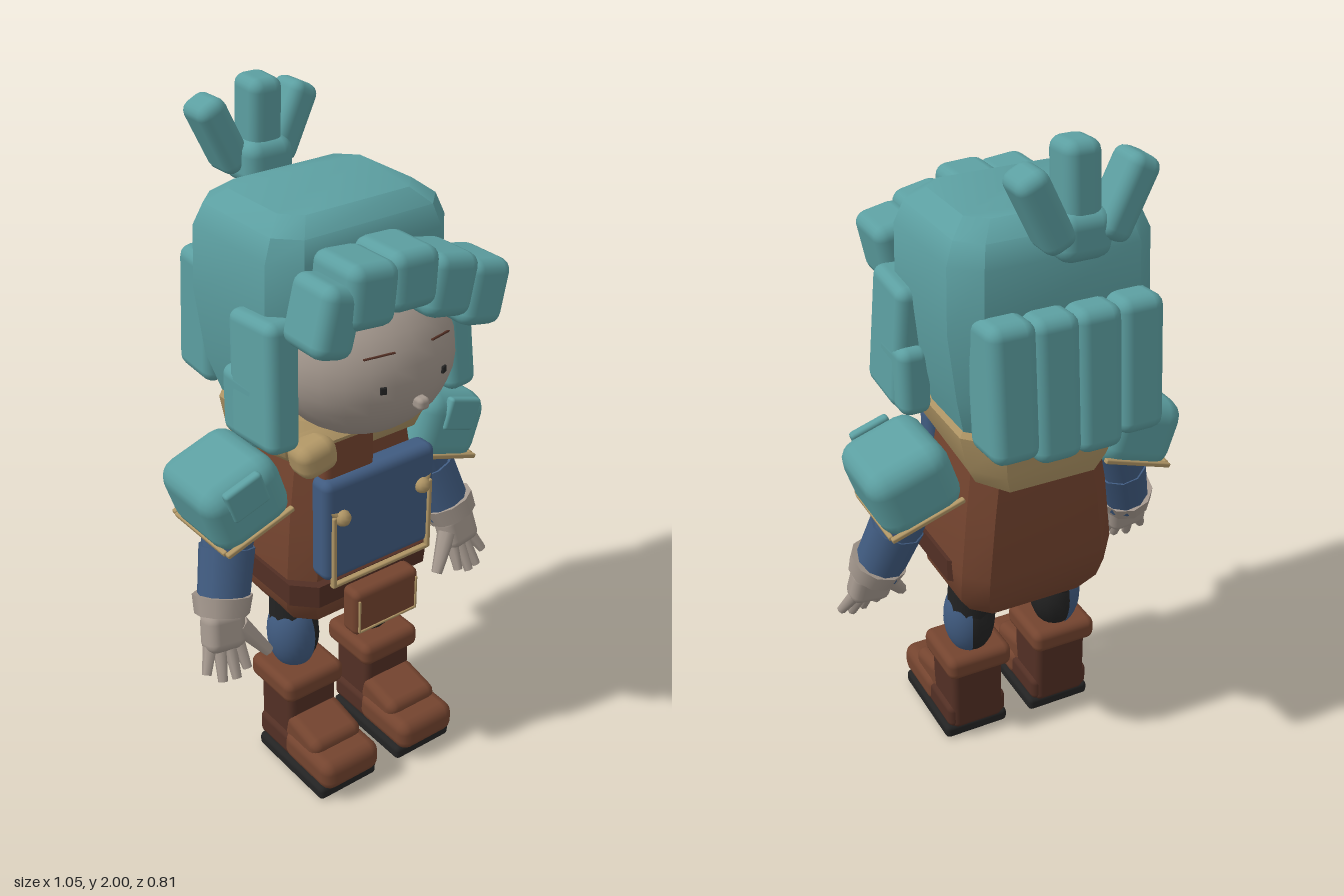
import * as THREE from 'three';
import { RoundedBoxGeometry } from 'three/addons/geometries/RoundedBoxGeometry.js';
import { toCreasedNormals } from 'three/addons/utils/BufferGeometryUtils.js';

const mat = (name, color) => {
  const m = new THREE.MeshStandardMaterial({ color });
  m.name = name;
  return m;
};

export function createModel() {
  const root = new THREE.Group();
  root.name = 'adventurer';
  const teal = mat('teal', 0x5c9fa1), blue = mat('blue', 0x405b80), brown = mat('brown', 0x74442f);
  const dark = mat('darkBrown', 0x522f24), tan = mat('tan', 0xae9464), skin = mat('skin', 0xa3978d);
  const black = mat('black', 0x232323);

  const add = (name, geo, m, x = 0, y = 0, z = 0, rx = 0, ry = 0, rz = 0) => {
    const mesh = new THREE.Mesh(geo, m);
    mesh.name = name;
    mesh.position.set(x, y, z);
    mesh.rotation.set(rx, ry, rz);
    root.add(mesh);
    return mesh;
  };
  // soft box: size, centre, rotation
  const box = (name, m, [w, h, d], [x, y, z], r = 0.02, [rx, ry, rz] = [0, 0, 0]) =>
    add(name, new RoundedBoxGeometry(w, h, d, 2, Math.min(r, w * 0.49, h * 0.49, d * 0.49)), m, x, y, z, rx, ry, rz);
  // tapered round limb between two points
  const limb = (name, m, a, b, r1, r2, sides = 10) => {
    const p = new THREE.Vector3(...a), q = new THREE.Vector3(...b);
    const d = q.clone().sub(p);
    const mesh = add(name, new THREE.CylinderGeometry(r2, r1, d.length(), sides), m);
    mesh.position.copy(p).add(q).multiplyScalar(0.5);
    mesh.quaternion.setFromUnitVectors(new THREE.Vector3(0, 1, 0), d.normalize());
    return mesh;
  };
  // stacked eight-sided sections: [y, halfWidth, back, front, cornerCut, frontLift]
  const loft = (name, m, sections) => {
    const pos = [], idx = [];
    sections.forEach(([y, w, b, f, c, lift = 0]) => {
      const ring = [[w, b + c], [w, f - c], [w - c, f], [c - w, f], [-w, f - c], [-w, b + c], [c - w, b], [w - c, b]];
      ring.forEach(([x, z]) => pos.push(x, y + lift * (z - b) / (f - b), z));
    });
    const n = sections.length;
    for (let s = 0; s < n - 1; s++) for (let i = 0; i < 8; i++) {
      const j = (i + 1) % 8, a = s * 8;
      idx.push(a + i, a + 8 + i, a + j, a + j, a + 8 + i, a + 8 + j);
    }
    for (let i = 1; i < 7; i++) {
      idx.push(0, i, i + 1);
      idx.push((n - 1) * 8, (n - 1) * 8 + i + 1, (n - 1) * 8 + i);
    }
    const g = new THREE.BufferGeometry();
    g.setAttribute('position', new THREE.Float32BufferAttribute(pos, 3));
    // sections run upward, rings run clockwise from above: flip to face outward
    for (let i = 0; i < idx.length; i += 3) {
      const [A, B, C] = [0, 1, 2].map(k => new THREE.Vector3().fromArray(pos, idx[i + k] * 3));
      const normal = B.clone().sub(A).cross(C.clone().sub(A));
      const centre = new THREE.Vector3(0, (sections[0][0] + sections[n - 1][0]) / 2, (sections[0][2] + sections[0][3]) / 2);
      if (normal.dot(A.add(B).add(C).divideScalar(3).sub(centre)) < 0) [idx[i + 1], idx[i + 2]] = [idx[i + 2], idx[i + 1]];
    }
    g.setIndex(idx);
    return add(name, toCreasedNormals(g, 0.6), m);
  };

  // Head
  const H = { y: 1.375, z: 0.15, rx: 0.26, ry: 0.225, rz: 0.235 };
  const faceZ = (x, y) => H.z + H.rz * Math.sqrt(1 - (x / H.rx) ** 2 - ((y - H.y) / H.ry) ** 2);
  add('head', new THREE.SphereGeometry(1, 24, 16), skin, 0, H.y, H.z).scale.set(H.rx, H.ry, H.rz);
  add('chinShade', new THREE.SphereGeometry(1.01, 24, 4, 0, Math.PI * 2, Math.PI * 0.84, Math.PI * 0.16), brown,
    0, H.y, H.z).scale.set(H.rx, H.ry, H.rz);
  box('nose', skin, [0.035, 0.035, 0.04], [0.01, 1.31, 0.385], 0.012);
  for (const s of [-1, 1]) {
    box('eye', black, [0.018, 0.02, 0.009], [s * 0.1, 1.37, faceZ(0.1, 1.37)], 0.003, [0, s * 0.4, 0]);
    box('brow', dark, [0.085, 0.005, 0.009], [s * 0.1, 1.46, faceZ(0.1, 1.46)], 0.002, [-0.3, s * 0.35, 0]);
  }

  // Hair mass
  loft('hairCap', teal, [
    [1.19, 0.24, -0.24, 0.1, 0.07], [1.3, 0.27, -0.27, 0.14, 0.07], [1.5, 0.295, -0.275, 0.2, 0.07],
    [1.68, 0.29, -0.27, 0.2, 0.07], [1.74, 0.265, -0.245, 0.18, 0.06], [1.78, 0.215, -0.19, 0.13, 0.05]]);
  // Fringe: x, y, width, height, tilt
  [[-0.235, 1.59, 0.12, 0.19, -0.25], [-0.14, 1.64, 0.15, 0.17, -0.1], [-0.01, 1.65, 0.15, 0.16, -0.05],
    [0.115, 1.6, 0.15, 0.17, -0.2], [0.23, 1.55, 0.14, 0.18, -0.2]].forEach(([x, y, w, h, t], i) =>
    box('fringeLock', teal, [w, h, 0.19 - (i === 0 ? 0.02 : 0)], [x, y, 0.293], 0.035, [0, 0, t]));
  // Back locks
  for (let i = 0; i < 4; i++) {
    const outer = i === 0 || i === 3;
    box('backLock', teal, [0.135, outer ? 0.38 : 0.4, 0.17], [(i - 1.5) * 0.122, outer ? 1.37 : 1.355, -0.292], 0.035, [0.08, 0, 0]);
  }
  // Side locks
  for (const s of [-1, 1]) {
    box('sideLock', teal, [0.1, 0.36, 0.2], [s * 0.293, 1.36, 0.12], 0.03, [-0.08, 0, s * 0.06]);
    box('sideLockTip', teal, [0.09, 0.2, 0.17], [s * 0.3, 1.27, 0.07], 0.03);
  }
  // Topknot
  box('knotBase', teal, [0.15, 0.13, 0.16], [0, 1.77, -0.315], 0.04);
  box('knotTuft', teal, [0.1, 0.24, 0.12], [0, 1.88, -0.315], 0.032, [0.06, 0, 0]);
  for (const s of [-1, 1]) box('knotTuft', teal, [0.09, 0.22, 0.12], [s * 0.112, 1.85, -0.345], 0.03, [0, 0, -s * 0.45]);

  // Coat, hips and scarf
  loft('coat', brown, [
    [0.53, 0.19, -0.13, 0.14, 0.05], [0.6, 0.235, -0.18, 0.18, 0.06], [0.7, 0.24, -0.2, 0.19, 0.06],
    [0.9, 0.22, -0.195, 0.18, 0.06], [1.1, 0.19, -0.18, 0.17, 0.06]]);
  box('hips', black, [0.34, 0.1, 0.24], [0, 0.56, 0], 0.03);
  loft('scarf', tan, [
    [1.0, 0.2, -0.225, 0.16, 0.07, 0.08], [1.06, 0.23, -0.25, 0.2, 0.08, 0.05],
    [1.17, 0.25, -0.26, 0.23, 0.09, 0.01], [1.215, 0.22, -0.23, 0.2, 0.08]]);
  box('scarfGap', brown, [0.17, 0.15, 0.05], [-0.09, 1.11, 0.2], 0.02);
  box('scarfKnot', tan, [0.12, 0.1, 0.1], [-0.2, 1.14, 0.2], 0.035, [0, 0, 0.2]);

  // Chest panel with trim and studs
  box('chestPanel', blue, [0.385, 0.32, 0.08], [0, 0.9, 0.212], 0.025);
  for (const s of [-1, 1]) {
    box('trimSide', tan, [0.012, 0.23, 0.018], [s * 0.168, 0.84, 0.252], 0.004);
    add('stud', new THREE.SphereGeometry(0.024, 10, 8), tan, s * 0.14, 0.945, 0.255);
    limb('studStrap', tan, [s * 0.14, 0.945, 0.255], [s * 0.172, 0.965, 0.24], 0.012, 0.012, 6);
  }
  box('trimBottom', tan, [0.348, 0.012, 0.018], [0, 0.728, 0.25], 0.004);

  // Belt and pouch
  loft('belt', dark, [[0.64, 0.25, -0.12, 0.215, 0.06], [0.71, 0.25, -0.12, 0.215, 0.06]]);
  box('pouch', brown, [0.23, 0.15, 0.07], [0, 0.615, 0.252], 0.02);
  box('pouchTrim', tan, [0.2, 0.008, 0.008], [0, 0.558, 0.287], 0.003);
  for (const s of [-1, 1]) box('pouchTrim', tan, [0.006, 0.11, 0.008], [s * 0.102, 0.61, 0.287], 0.002);

  for (const s of [-1, 1]) {
    // Shoulder guard with raised plate and lower trim
    const tilt = -s * 0.32;
    box('shoulderGuard', teal, [0.25, 0.215, 0.285], [s * 0.353, 0.995, 0.005], 0.06, [0, 0, tilt]);
    box('shoulderPlate', teal, [0.12, 0.1, 0.03], [s * 0.375, 1.045, 0.142], 0.01, [0, 0, tilt]);
    for (const z of [-0.13, 0.14]) box('shoulderTrim', tan, [0.23, 0.014, 0.018], [s * 0.332, 0.915, z], 0.004, [0, 0, tilt]);
    box('shoulderTrim', tan, [0.014, 0.014, 0.25], [s * 0.438, 0.88, 0.005], 0.004, [0, 0, tilt]);

    // Sleeve, glove cuff and hand
    limb('upperSleeve', blue, [s * 0.325, 0.95, 0.0], [s * 0.37, 0.8, 0.02], 0.08, 0.072);
    limb('lowerSleeve', blue, [s * 0.365, 0.82, 0.02], [s * 0.415, 0.66, 0.065], 0.08, 0.074);
    limb('gloveCuff', skin, [s * 0.41, 0.695, 0.058], [s * 0.425, 0.645, 0.075], 0.086, 0.078);
    box('palm', skin, [0.125, 0.12, 0.08], [s * 0.432, 0.6, 0.088], 0.03, [-0.25, 0, s * 0.15]);
    [[0.395, 0.485, 0.15], [0.435, 0.47, 0.155], [0.475, 0.47, 0.145], [0.515, 0.5, 0.125]].forEach(([x, y, z], i) =>
      limb('finger', skin, [s * (0.4 + i * 0.024), 0.58, 0.1 - i * 0.005], [s * x, y, z], 0.022, 0.014, 7));
    limb('thumb', skin, [s * 0.385, 0.6, 0.1], [s * 0.315, 0.5, 0.14], 0.03, 0.017, 7);

    // Legs: dark stocking with a coloured outer panel
    const X = s * 0.145;
    const [start, span] = s > 0 ? [0.68, 0.72] : [-0.45, 1.05];
    limb('thigh', black, [X, 0.46, 0.015], [s * 0.13, 0.6, 0.01], 0.07, 0.08);
    add('stocking', new THREE.SphereGeometry(1, 16, 12), black, X, 0.425, 0.022).scale.set(0.078, 0.125, 0.08);
    add('stockingPanel', new THREE.SphereGeometry(1.02, 14, 10, start * Math.PI, span * Math.PI, 0.2 * Math.PI, 0.6 * Math.PI),
      blue, X, 0.425, 0.022).scale.set(0.078, 0.125, 0.08);

    // Boots
    box('bootCuff', brown, [0.21, 0.075, 0.205], [X, 0.292, 0.04], 0.025);
    box('bootShaft', dark, [0.17, 0.24, 0.16], [X, 0.16, 0.045], 0.02);
    box('bootHeel', dark, [0.195, 0.08, 0.19], [X, 0.085, 0.065], 0.02);
    box('bootInstep', brown, [0.18, 0.1, 0.16], [X, 0.135, 0.17], 0.03, [0.2, 0, 0]);
    box('bootToe', brown, [0.205, 0.1, 0.23], [X, 0.09, 0.213], 0.035);
    box('bootSole', black, [0.21, 0.045, 0.325], [X, 0.0225, 0.14], 0.015);
  }
  return root;
}
